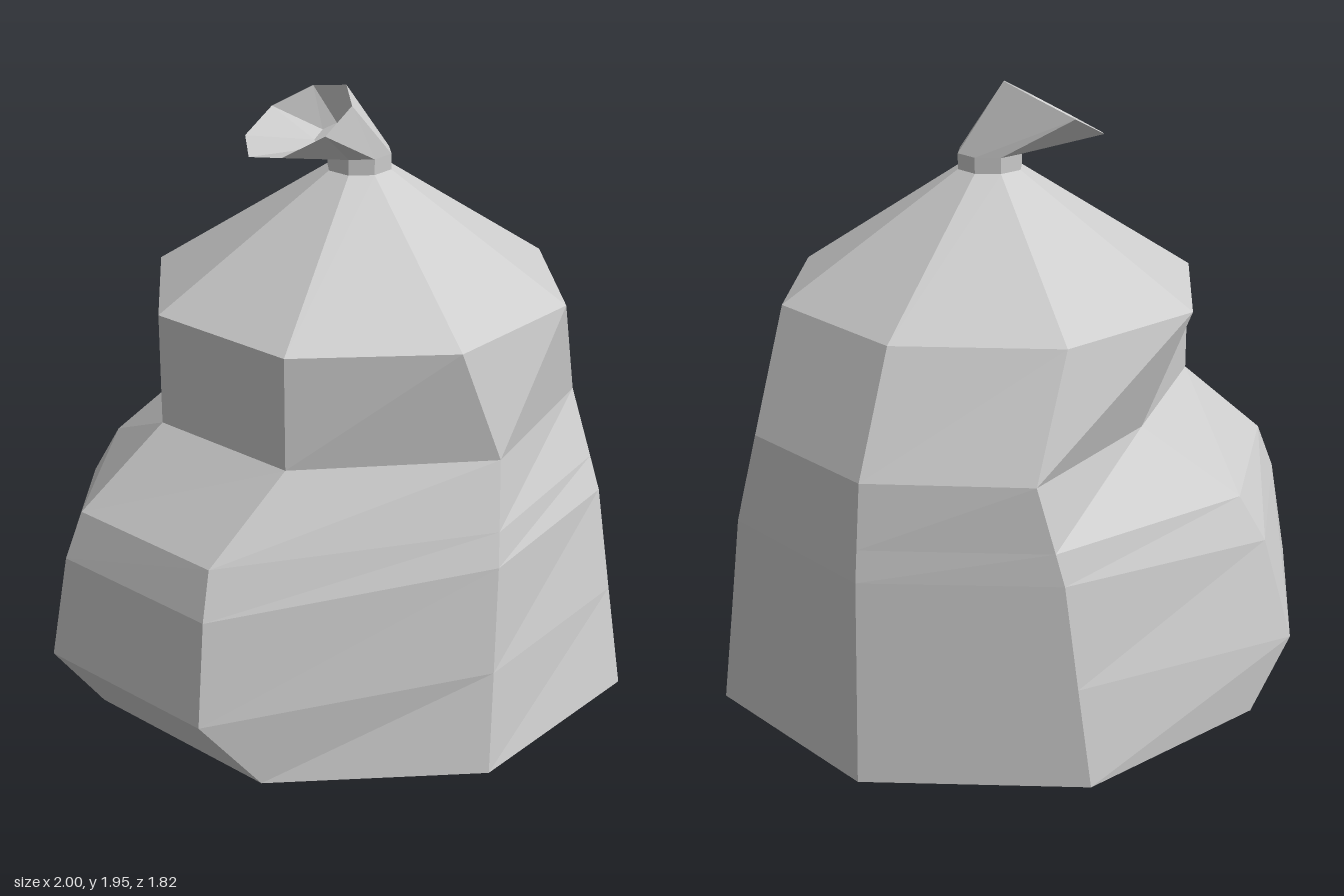
import * as THREE from 'three';

const SIDES = 8;
const V = (x, y, z) => new THREE.Vector3(x, y, z);

// Octagon around (cx, cy): slope lifts it along x, so the ring can tilt
function octagon(cx, cy, rx, rz = rx, slope = 0) {
  return Array.from({ length: SIDES }, (_, k) => {
    const a = (k / SIDES) * Math.PI * 2;
    const dx = Math.cos(a) * rx;
    return V(cx + dx, cy + dx * slope, Math.sin(a) * rz);
  });
}

// Flat shaded skin through a stack of rings, with optional end caps
function loft(name, rings, capStart, capEnd) {
  const pos = [];
  const tri = (...pts) => pts.forEach((p) => pos.push(p.x, p.y, p.z));
  for (let i = 0; i + 1 < rings.length; i++) {
    for (let k = 0; k < SIDES; k++) {
      const n = (k + 1) % SIDES;
      const a = rings[i][k], b = rings[i][n], c = rings[i + 1][n], d = rings[i + 1][k];
      tri(a, d, b);
      tri(b, d, c);
    }
  }
  const cap = (ring, up) => {
    const mid = ring.reduce((s, p) => s.add(p), V(0, 0, 0)).divideScalar(SIDES);
    ring.forEach((p, k) => {
      const q = ring[(k + 1) % SIDES];
      if (up) tri(mid, q, p);
      else tri(mid, p, q);
    });
  };
  if (capStart) cap(rings[0], false);
  if (capEnd) cap(rings[rings.length - 1], true);
  const geo = new THREE.BufferGeometry();
  geo.setAttribute('position', new THREE.Float32BufferAttribute(pos, 3));
  geo.computeVertexNormals();
  const mesh = new THREE.Mesh(geo, new THREE.MeshStandardMaterial({
    color: 0xcccccc, flatShading: true, side: THREE.DoubleSide,
  }));
  mesh.name = name;
  return mesh;
}

// Upright column: [x, z] at heights 0, 0.65 and 0.95, filled in between
function straightColumn(low, mid, high) {
  const at = (p, q, t, y) => V(p[0] + (q[0] - p[0]) * t, y, p[1] + (q[1] - p[1]) * t);
  return [at(low, mid, 0, 0), at(low, mid, 0.5, 0.32), at(low, mid, 1, 0.65),
    at(mid, high, 0.33, 0.75), at(mid, high, 1, 0.95)];
}

// Sagging column: [x, z] at five heights
const bulgeColumn = (...pts) => pts.map(([x, z], i) => V(x, [0, 0.22, 0.55, 0.7, 0.95][i], z));

export function createModel() {
  const group = new THREE.Group();
  group.name = 'tiedSack';

  // Columns run round from +x through +z; the -x side bulges
  const columns = [
    straightColumn([1, 0], [0.945, -0.08], [0.89, -0.14]),
    straightColumn([0.73, 0.65], [0.71, 0.5], [0.695, 0.34]),
    straightColumn([0.08, 0.91], [0.15, 0.81], [0.21, 0.7]),
    bulgeColumn([-0.57, 0.65], [-0.75, 0.6], [-0.71, 0.56], [-0.67, 0.52], [-0.4, 0.48]),
    bulgeColumn([-0.84, 0], [-1, 0], [-0.94, 0], [-0.88, 0], [-0.6, 0]),
    bulgeColumn([-0.57, -0.65], [-0.72, -0.61], [-0.64, -0.56], [-0.56, -0.53], [-0.25, -0.46]),
    straightColumn([0.08, -0.91], [0.15, -0.86], [0.22, -0.81]),
    straightColumn([0.73, -0.65], [0.715, -0.635], [0.69, -0.61]),
  ];
  const rings = columns[0].map((_, i) => columns.map((c) => c[i]));

  // Body and gathered shoulder
  const shoulder = octagon(0.08, 1.31, 0.68);
  const neckLow = octagon(0.085, 1.69, 0.105);
  group.add(loft('body', [...rings, shoulder], true, false));
  group.add(loft('shoulder', [shoulder, neckLow], false, false));

  // Tied neck
  const neckHigh = octagon(0.085, 1.74, 0.105);
  group.add(loft('neck', [neckLow, neckHigh], false, false));

  // Loose mouth: tilted funnel, folding back inside to a small floor
  const rim = octagon(-0.125, 1.862, 0.165, 0.19, 0.56);
  const floor = octagon(-0.005, 1.8, 0.055, 0.075, 0.56);
  group.add(loft('mouth', [neckHigh, rim, floor], false, true));

  return group;
}
